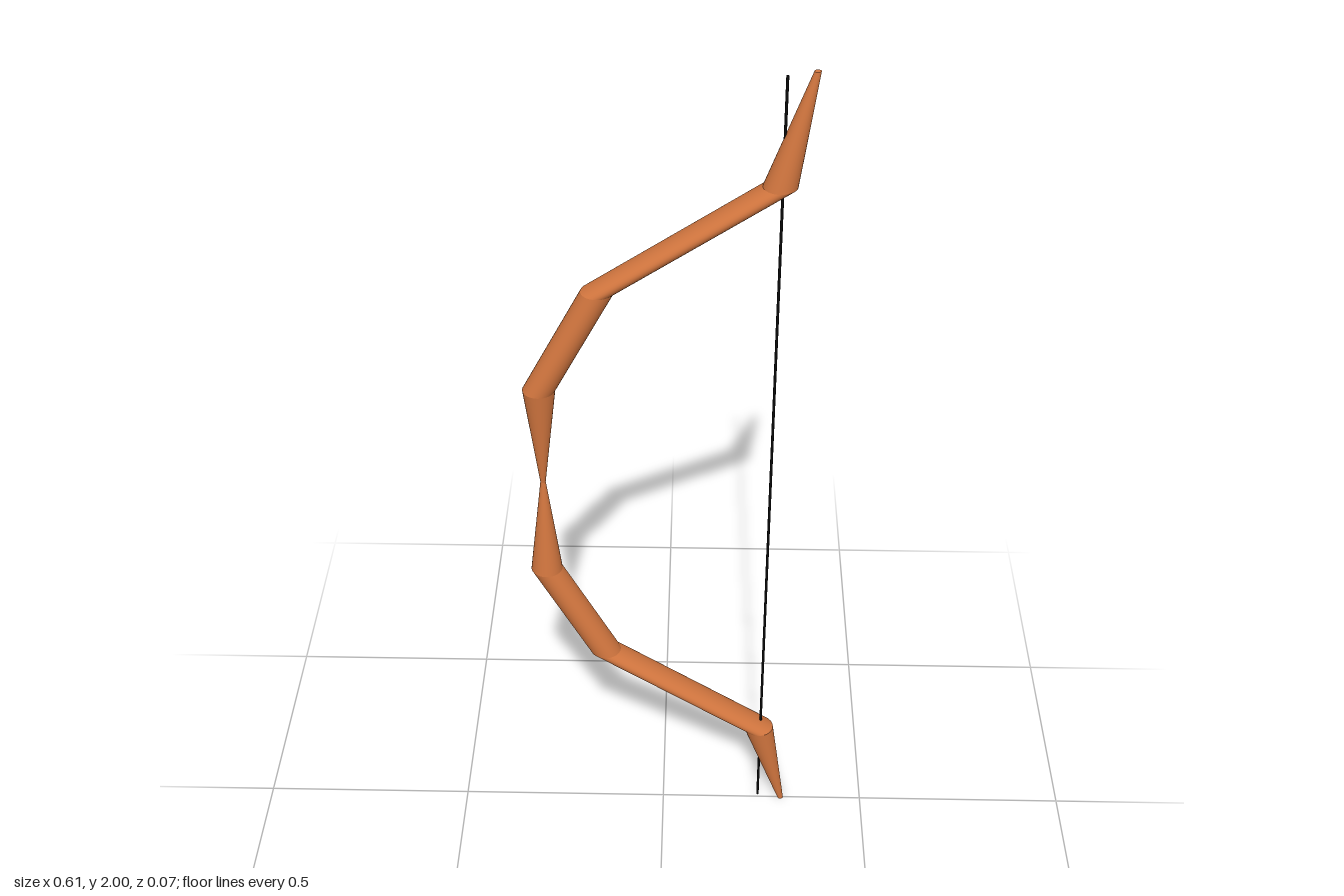
import * as THREE from 'three';
import { mergeVertices } from 'three/addons/utils/BufferGeometryUtils.js';

// Level rings from the bottom tip to the middle of the grip: [x, y, radius]
const HALF = [
  [0.298, 0, 0.007],
  [0.235, 0.25, 0.036],
  [-0.138, 0.5, 0.036],
  [-0.27, 0.75, 0.036],
  [-0.27, 1, 0.006],
];

// A round section whose two level ends are shifted sideways from each other
function limbSection([x0, y0, r0], [x1, y1, r1]) {
  let geo = new THREE.CylinderGeometry(r1, r0, y1 - y0, 32, 1, true);
  geo.translate(0, (y0 + y1) / 2, 0);
  const pos = geo.attributes.position;
  for (let i = 0; i < pos.count; i++) {
    const t = (pos.getY(i) - y0) / (y1 - y0);
    pos.setX(i, pos.getX(i) + x0 + (x1 - x0) * t);
  }
  // Join the seam so the section shades smoothly all round
  geo.deleteAttribute('uv');
  geo.deleteAttribute('normal');
  geo = mergeVertices(geo);
  geo.computeVertexNormals();
  return geo;
}

export function createModel() {
  const group = new THREE.Group();
  group.name = 'bow';
  const wood = new THREE.MeshStandardMaterial({ color: 0xd2763f });
  const cord = new THREE.MeshStandardMaterial({ color: 0x0a0a0a });

  const add = (name, geo, material) => {
    const mesh = new THREE.Mesh(geo, material);
    mesh.name = name;
    group.add(mesh);
    return mesh;
  };

  // Limbs and grip, mirrored about the middle
  const rings = [...HALF, ...HALF.slice(0, -1).reverse().map(([x, y, r]) => [x, 2 - y, r])];
  const names = ['Tip', 'OuterLimb', 'InnerLimb', 'Grip'];
  for (let i = 0; i < rings.length - 1; i++) {
    const name = i < 4 ? 'lower' + names[i] : 'upper' + names[7 - i];
    add(name, limbSection(rings[i], rings[i + 1]), wood);
  }

  // Flat ends of the two tips
  const [tipX, , tipR] = HALF[0];
  for (const side of [-1, 1]) {
    const cap = add(side < 0 ? 'lowerCap' : 'upperCap', new THREE.CircleGeometry(tipR, 32), wood);
    cap.rotation.x = -side * Math.PI / 2;
    cap.position.set(tipX, 1 + side, 0);
  }

  // Bowstring
  const string = add('bowstring', new THREE.CylinderGeometry(0.003, 0.003, 1.98, 12), cord);
  string.position.set(0.24, 1, 0);

  return group;
}
